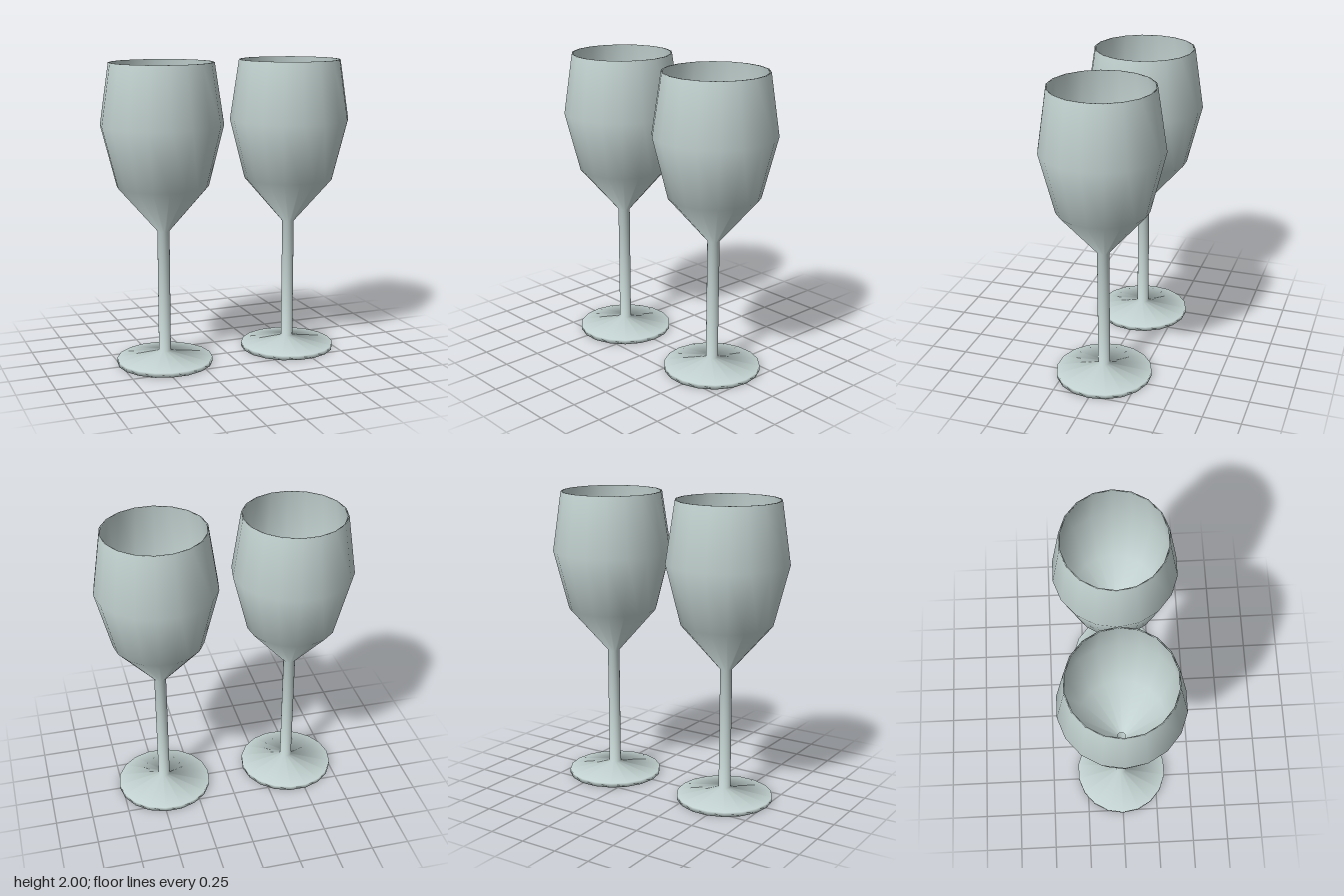
import * as THREE from 'three';

export function createModel() {
  const group = new THREE.Group();
  group.name = 'wineGlasses';
  const glass = new THREE.MeshStandardMaterial({ color: 0xc4d4d2, side: THREE.DoubleSide });
  glass.name = 'paleGlass';

  // One continuous profile: foot, stem, outer bowl, rim, inner bowl
  const profile = [
    [0, 0], [0.32, 0], [0.32, 0.03], [0.04, 0.08], [0.04, 0.9],
    [0.3, 1.2], [0.4, 1.6], [0.34, 2],
    [0.33, 2], [0.39, 1.6], [0.29, 1.2], [0.028, 0.9],
  ].map(([r, y]) => new THREE.Vector2(r, y));

  // Corners of the 18 sides lie on the x axis
  const geometry = new THREE.LatheGeometry(profile, 18).rotateY(Math.PI / 2);

  for (const [name, x] of [['leftGlass', 0.45], ['rightGlass', -0.45]]) {
    const mesh = new THREE.Mesh(geometry, glass);
    mesh.name = name;
    mesh.position.x = x;
    group.add(mesh);
  }
  return group;
}
